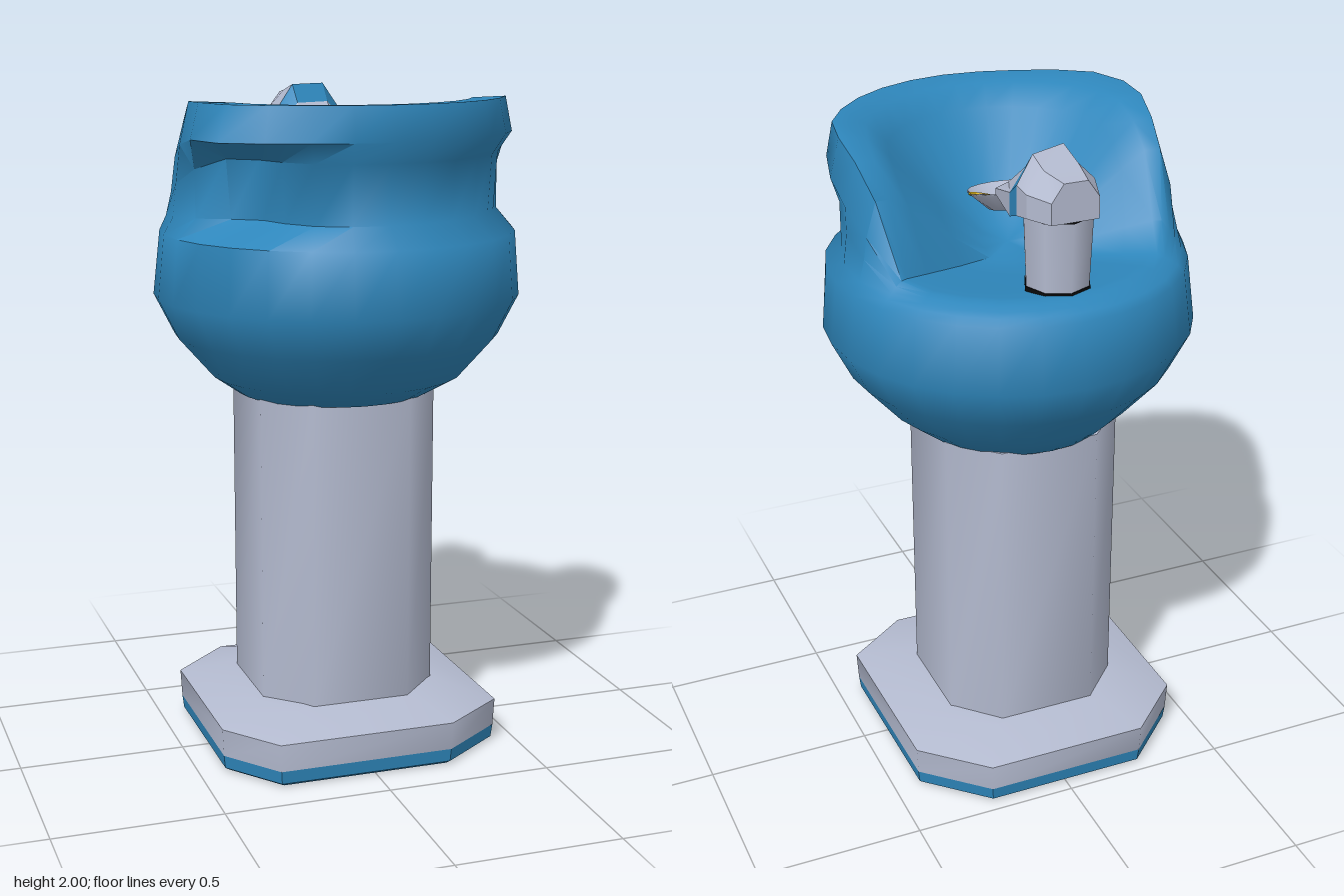
import * as THREE from 'three';
import { toCreasedNormals } from 'three/addons/utils/BufferGeometryUtils.js';

const material = (name, color) => {
  const m = new THREE.MeshStandardMaterial({ color, side: THREE.DoubleSide });
  m.name = name;
  return m;
};

// Skin a list of equal-length rings of [x, y, z]; both ends are closed with fans.
function loft(rings, crease) {
  const n = rings[0].length, pos = rings.flat(2), index = [];
  for (let i = 0; i < rings.length - 1; i++) {
    for (let j = 0; j < n; j++) {
      const a = i * n + j, b = i * n + (j + 1) % n;
      index.push(a, b, b + n, a, b + n, a + n);
    }
  }
  const cap = (r, flip) => {
    const centre = pos.length / 3;
    for (let k = 0; k < 3; k++) pos.push(rings[r].reduce((s, p) => s + p[k], 0) / n);
    for (let j = 0; j < n; j++) {
      const a = r * n + j, b = r * n + (j + 1) % n;
      index.push(centre, flip ? b : a, flip ? a : b);
    }
  };
  cap(0, true);
  cap(rings.length - 1, false);
  const g = new THREE.BufferGeometry();
  g.setAttribute('position', new THREE.Float32BufferAttribute(pos, 3));
  g.setIndex(index);
  return toCreasedNormals(g, crease);
}

const clamp01 = (v) => Math.min(1, Math.max(0, v));
const mix = (a, b, t) => a + (b - a) * t;

// Height of the splash guard, 0 at the back of the bowl and 1 at the front.
function guard(z) {
  if (z < -0.13) return clamp01((z + 0.25) / 0.12) * 0.7;
  if (z < -0.03) return mix(0.7, 0.88, (z + 0.13) / 0.1);
  return mix(0.88, 1, clamp01((z + 0.03) / 0.13));
}

// Bowl stations: back radius, back y, front radius, front y,
// side radius, side y (where the front groove fades out), corner offset.
const BOWL = [
  [0.295, 1.1, 0.295, 1.1, 0.295, 1.1, 0],
  [0.38, 1.16, 0.38, 1.16, 0.38, 1.16, 0],
  [0.485, 1.28, 0.485, 1.28, 0.485, 1.28, 0],
  [0.545, 1.4, 0.545, 1.4, 0.545, 1.4, 0],
  [0.52, 1.59, 0.53, 1.59, 0.525, 1.59, 0],
  [0.5, 1.61, 0.465, 1.65, 0.505, 1.64, -0.09],
  [0.48, 1.62, 0.475, 1.82, 0.49, 1.73, -0.08],
  [0.46, 1.63, 0.515, 1.88, 0.485, 1.82, 0.075],
  [0.44, 1.635, 0.495, 1.98, 0.445, 1.97, 0.055],
  [0.42, 1.635, 0.4, 1.975, 0.39, 1.965, 0.02],
  [0.34, 1.625, 0.34, 1.92, 0.33, 1.9, 0],
  [0.2, 1.61, 0.2, 1.75, 0.2, 1.74, 0],
  [0.08, 1.6, 0.08, 1.65, 0.08, 1.64, 0],
];

function bowlGeometry() {
  const sides = 28;
  const rings = BOWL.map(([rb, yb, rf, yf, rs, ys, corner], i) =>
    Array.from({ length: sides }, (_, j) => {
      const t = j / sides * Math.PI * 2;
      const z = 0.5 * Math.cos(t);
      const f = guard(z - 0.03 * Math.max(0, Math.sin(t))), g = clamp01((z + 0.05) / 0.26);
      const d = t + 0.9;
      const near = clamp01(1 - Math.abs(Math.atan2(Math.sin(d), Math.cos(d))) / 0.52);
      const r = mix(rb, mix(rs, rf, g), f) + near * corner;
      const shift = i === 0 ? -0.03 : 0;
      return [Math.sin(t) * r, mix(yb, mix(ys, yf, g), f), Math.cos(t) * r + shift];
    }));
  return loft(rings, 0.95);
}

// Foot outline as [x, z]
const FOOT = [[0.24, 0.39], [0.435, 0.25], [0.43, -0.3], [0.25, -0.47],
  [-0.25, -0.47], [-0.43, -0.3], [-0.43, 0.22], [-0.3, 0.39]];
const footRing = (s, y) => FOOT.map(([x, z]) => [x * s, y, (z + 0.035) * s - 0.035]);

// Column outline as [x, z], a square with wide chamfers
const COLUMN = [[0.15, 0.275], [0.272, 0.15], [0.272, -0.15], [0.15, -0.275],
  [-0.15, -0.275], [-0.272, -0.15], [-0.272, 0.15], [-0.15, 0.275]];
const columnRing = (y) => COLUMN.map(([x, z]) => [x, y, z - 0.035]);

// Spout head section: depth z, half width, top y, bottom y, slant of z across x
const headRing = ([z, w, top, low, slant]) => {
  const mid = mix(low, top, 0.55);
  return [[w, low], [w, mid], [w * 0.5, top], [-w * 0.5, top], [-w, mid], [-w, low]]
    .map(([x, y]) => [x, y, z - x * slant]);
};

export function createModel() {
  const blue = material('blue', 0x2e86bb);
  const grey = material('grey', 0xb4bbd0);
  const black = material('black', 0x0a0a0a);
  const yellow = material('yellow', 0xdab010);

  const model = new THREE.Group();
  model.name = 'drinkingFountain';
  const add = (name, geometry, mat, parent = model, x = 0, y = 0, z = 0) => {
    const mesh = new THREE.Mesh(geometry, mat);
    mesh.name = name;
    mesh.position.set(x, y, z);
    parent.add(mesh);
    return mesh;
  };

  // Foot with a hollow blue underside; the grey part starts above the hollow
  add('footTrim', loft([footRing(0.46, 0.1), footRing(0.52, 0.035), footRing(0.95, 0),
    footRing(0.98, 0.01), footRing(0.99, 0.05)], 0.6), blue);
  add('foot', loft([footRing(0.9, 0.125), footRing(0.99, 0.05), footRing(1, 0.135),
    footRing(0.68, 0.178), footRing(0.55, 0.185)], 1.25), grey);

  // Column
  add('column', loft([columnRing(0.16), columnRing(1.115)], 1), grey);

  // Bowl with raised front splash guard
  add('bowl', bowlGeometry(), blue);

  // Spout standing on the back of the bowl
  const spout = new THREE.Group();
  spout.name = 'spout';
  model.add(spout);
  add('spoutLeg', new THREE.CylinderGeometry(0.102, 0.092, 0.23, 8), grey, spout, 0, 1.735, -0.345);
  add('spoutSeal', new THREE.CylinderGeometry(0.096, 0.096, 0.018, 8), black, spout, 0, 1.633, -0.345);
  add('spoutSeam', new THREE.CylinderGeometry(0.106, 0.106, 0.008, 8), black, spout, 0, 1.85, -0.345);
  add('spoutStripe', new THREE.BoxGeometry(0.07, 0.18, 0.009), blue, spout, 0, 1.735, -0.249);

  const sections = [
    [-0.455, 0.07, 1.965, 1.853, 0], [-0.36, 0.11, 1.975, 1.853, 0.2], [-0.275, 0.112, 1.998, 1.84, 0.42],
    [-0.225, 0.11, 1.945, 1.82, 0.42], [-0.1, 0.08, 1.85, 1.82, 0],
  ].map(headRing);
  add('spoutHead', loft(sections.slice(0, 3), 0.4), grey, spout);
  add('spoutBand', loft(sections.slice(2, 4), 0.4), blue, spout);
  add('spoutNozzle', loft(sections.slice(3), 0.4), grey, spout);

  // Small dish in front of the nozzle
  const dish = new THREE.Group();
  dish.name = 'dish';
  dish.position.set(-0.01, 1.78, 0.03);
  dish.rotation.x = 0.2;
  model.add(dish);
  const profile = [[0, -0.055], [0.06, -0.055], [0.115, -0.004], [0.113, 0.002], [0.06, -0.044], [0, -0.044]]
    .map(([x, y]) => new THREE.Vector2(x, y));
  add('dishBody', new THREE.LatheGeometry(profile, 16), grey, dish);
  add('dishHole', new THREE.CylinderGeometry(0.058, 0.058, 0.006, 16), black, dish, 0.008, -0.04, 0.008);
  const button = add('dishButton', new THREE.CylinderGeometry(0.042, 0.042, 0.006, 12), yellow, dish, 0.086, -0.008, -0.02);
  button.scale.x = 0.75;
  button.rotation.set(0, 0.5, 0.4);

  return model;
}
